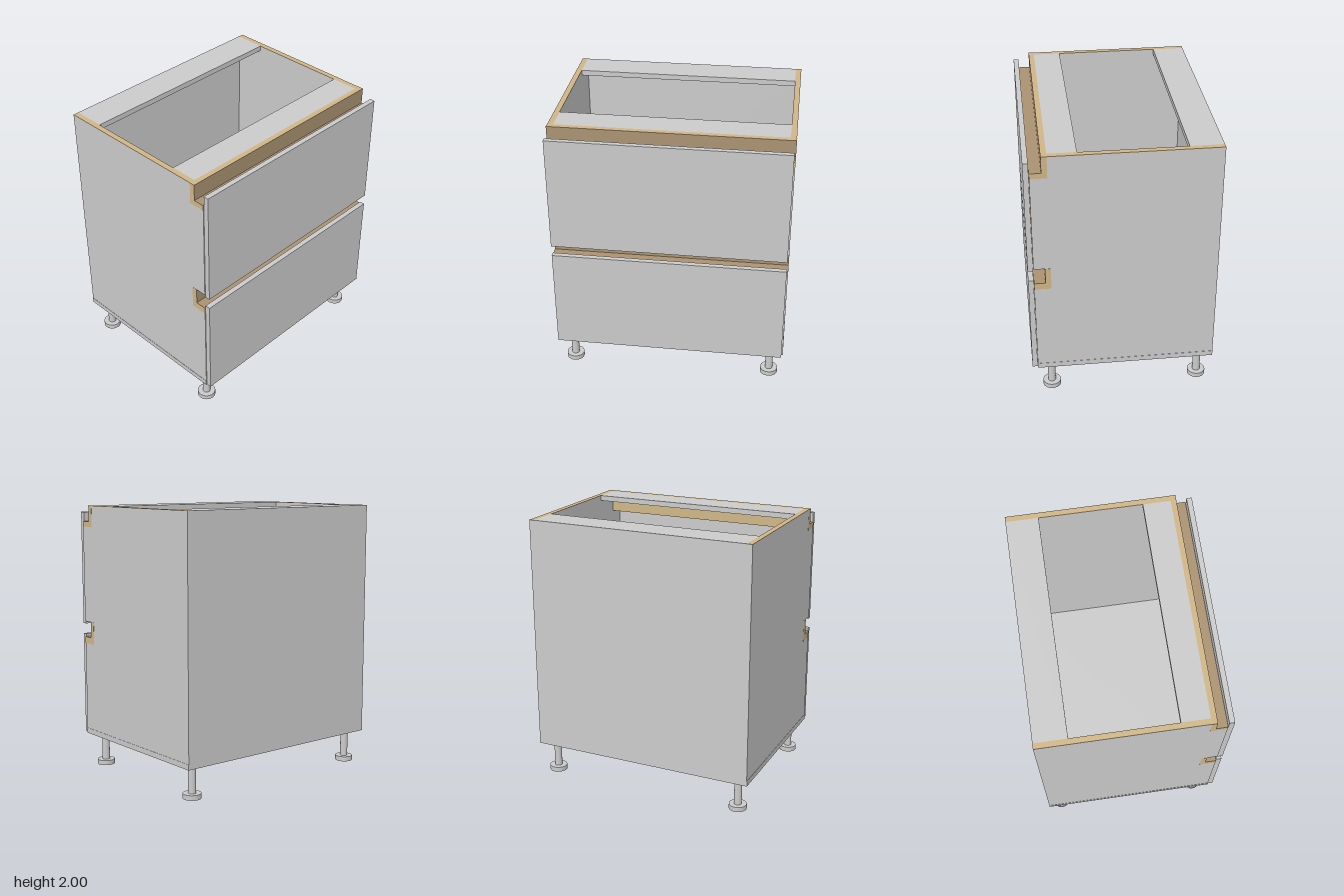
import * as THREE from 'three';

const material = (color) => new THREE.MeshStandardMaterial({ color });

export function createModel() {
  const model = new THREE.Group();
  const grey = material(0xcccccc);
  const wood = material(0xd0b687);
  const darkWood = material(0xab9372);

  const add = (name, geometry, mat, parent = model) => {
    const mesh = new THREE.Mesh(geometry, mat);
    mesh.name = name;
    parent.add(mesh);
    return mesh;
  };
  // Box given by its limits on each axis
  const slab = (name, [x0, x1], [y0, y1], [z0, z1], mat = grey) => {
    const mesh = add(name, new THREE.BoxGeometry(x1 - x0, y1 - y0, z1 - z0), mat);
    mesh.position.set((x0 + x1) / 2, (y0 + y1) / 2, (z0 + z1) / 2);
    return mesh;
  };
  // Outline in (z, y), extruded along x from x0 to x1
  const profile = (name, points, x0, x1, mat) => {
    const shape = new THREE.Shape(points.map(([z, y]) => new THREE.Vector2(z, y)));
    const geometry = new THREE.ExtrudeGeometry(shape, { depth: x1 - x0, bevelEnabled: false });
    geometry.rotateY(-Math.PI / 2).translate(x1, 0, 0);
    return add(name, geometry, mat);
  };

  // Side panels, cut out at the front for the two grip channels
  const sideOutline = [
    [-0.665, 0.28], [0.63, 0.28], [0.63, 0.95], [0.51, 0.95], [0.51, 1.12],
    [0.63, 1.12], [0.63, 1.84], [0.51, 1.84], [0.51, 1.996], [-0.665, 1.996],
  ];
  for (const [name, x0, x1] of [['left', 0.815, 0.856], ['right', -0.856, -0.815]]) {
    profile(name + 'SidePanel', sideOutline, x0, x1, grey);
    slab(name + 'TopEdge', [x0, x1], [1.996, 2], [-0.67, 0.51], wood);
  }

  // Bottom, back and top rails
  slab('bottomPanel', [-0.858, 0.858], [0.24, 0.28], [-0.67, 0.63]);
  slab('backPanel', [-0.856, 0.856], [0.28, 1.996], [-0.67, -0.66]);
  slab('backRail', [-0.815, 0.815], [1.96, 2], [-0.67, -0.435]);
  slab('frontRail', [-0.815, 0.815], [1.96, 2], [0.31, 0.51]);

  // L-shaped grip channels with a darker inner lining
  for (const [y0, lip, y1] of [[1.84, 1.88, 2], [0.95, 1.0, 1.12]]) {
    profile('gripChannel', [
      [0.51, y0], [0.63, y0], [0.63, lip - 0.002], [0.548, lip - 0.002], [0.548, y1], [0.51, y1],
    ], -0.857, 0.857, wood);
    profile('gripLining', [
      [0.548, lip - 0.002], [0.63, lip - 0.002], [0.63, lip], [0.55, lip], [0.55, y1], [0.548, y1],
    ], -0.857, 0.857, darkWood);
  }

  // Drawer fronts
  slab('lowerDrawerFront', [-0.852, 0.847], [0.247, 1.02], [0.632, 0.67]);
  slab('upperDrawerFront', [-0.852, 0.847], [1.1, 1.95], [0.632, 0.67]);

  // Adjustable feet: pad, stem and mounting flange
  for (const x of [-0.756, 0.756]) {
    for (const z of [0.527, -0.574]) {
      const foot = new THREE.Group();
      foot.name = 'foot';
      foot.position.set(x, 0, z);
      for (const [name, radius, y0, y1] of [
        ['footPad', 0.066, 0, 0.037], ['footStem', 0.028, 0.037, 0.23], ['footFlange', 0.053, 0.23, 0.24],
      ]) {
        add(name, new THREE.CylinderGeometry(radius, radius, y1 - y0, 24), grey, foot).position.y = (y0 + y1) / 2;
      }
      model.add(foot);
    }
  }
  return model;
}
